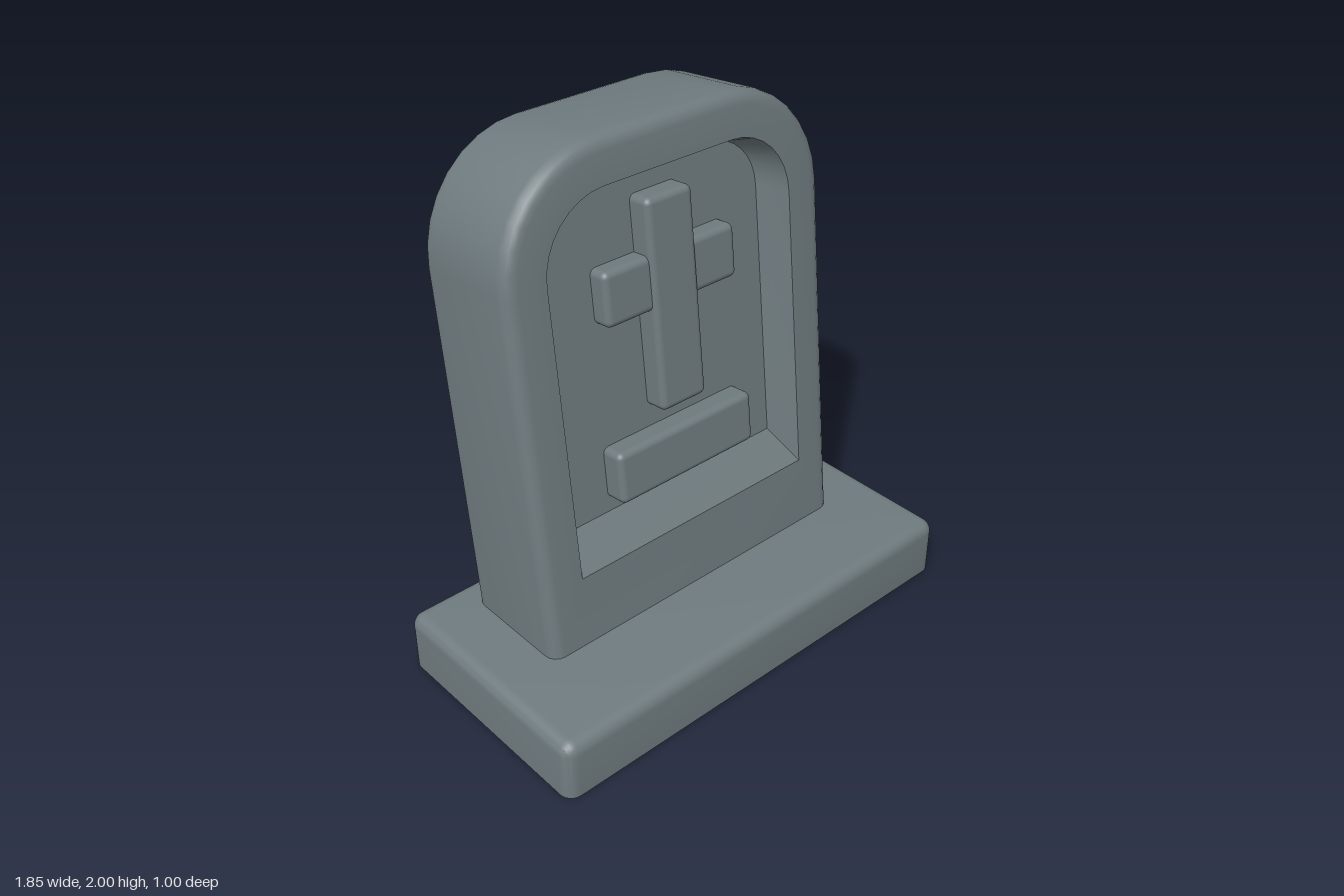
import * as THREE from 'three';
import { toCreasedNormals } from 'three/addons/utils/BufferGeometryUtils.js';
import { RoundedBoxGeometry } from 'three/addons/geometries/RoundedBoxGeometry.js';

const TILT = THREE.MathUtils.degToRad(6);
const HALF_DEPTH = 0.229;
const EDGE = 0.05;
const CREASE = 0.5;

// Arch outline, counter-clockwise: square bottom corners, rounded top corners
function archRing(halfWidth, bottom, top, radius, z) {
  const ring = [[-halfWidth, bottom, z], [halfWidth, bottom, z]];
  const steps = 8;
  for (const side of [1, -1]) {
    for (let k = 0; k <= steps; k++) {
      const a = (Math.PI / 2) * (k / steps) + (side < 0 ? Math.PI / 2 : 0);
      ring.push([
        side * (halfWidth - radius) + radius * Math.cos(a),
        top - radius + radius * Math.sin(a),
        z,
      ]);
    }
  }
  return ring;
}

// Skin a list of matching rings, front to back, and cap both ends
function skinRings(rings) {
  const n = rings[0].length;
  const points = rings.flat();
  const index = [];
  for (let i = 0; i < rings.length - 1; i++) {
    for (let j = 0; j < n; j++) {
      const k = (j + 1) % n;
      const a = i * n + j, b = i * n + k, c = a + n, d = b + n;
      index.push(a, c, b, b, c, d);
    }
  }
  const last = (rings.length - 1) * n;
  const front = points.length, back = front + 1;
  points.push([0, 1, rings[0][0][2]], [0, 1, rings[rings.length - 1][0][2]]);
  for (let j = 0; j < n; j++) {
    const k = (j + 1) % n;
    index.push(front, j, k, back, last + k, last + j);
  }
  const geometry = new THREE.BufferGeometry();
  geometry.setAttribute('position', new THREE.Float32BufferAttribute(points.flat(), 3));
  geometry.setIndex(index);
  return toCreasedNormals(geometry, CREASE);
}

// Slab with a bevelled recess in both faces and a rounded rim
function slabGeometry() {
  const half = [
    archRing(0.47, 0.378, 1.575, 0.21, HALF_DEPTH - 0.1),
    archRing(0.535, 0.247, 1.6, 0.26, HALF_DEPTH),
  ];
  for (let k = 0; k <= 4; k++) {
    const a = (Math.PI / 2) * (k / 4);
    const inset = EDGE * (1 - Math.sin(a));
    half.push(archRing(0.695 - inset, -0.1, 1.761 - inset, 0.415 - inset,
      HALF_DEPTH - EDGE + EDGE * Math.cos(a)));
  }
  const mirrored = half.map(ring => ring.map(([x, y, z]) => [x, y, -z])).reverse();
  return skinRings([...half, ...mirrored]);
}

// Plinth: rounded on top and at the corners, cut flat at the ground
function baseGeometry() {
  const geometry = new RoundedBoxGeometry(1.85, 0.33, 0.925, 4, 0.05);
  geometry.translate(0, 0.065, 0.0375);
  const position = geometry.attributes.position;
  for (let i = 0; i < position.count; i++) {
    position.setY(i, Math.max(0, position.getY(i)));
  }
  return toCreasedNormals(geometry, CREASE);
}

export function createModel() {
  const stone = new THREE.MeshStandardMaterial({ color: 0x6f7b7f });
  const model = new THREE.Group();
  model.name = 'gravestone';

  const add = (parent, name, geometry) => {
    const mesh = new THREE.Mesh(geometry, stone);
    mesh.name = name;
    parent.add(mesh);
    return mesh;
  };

  add(model, 'base', baseGeometry());

  // Everything above the base leans backwards
  const headstone = new THREE.Group();
  headstone.name = 'headstone';
  headstone.position.set(0, 0.23, -0.09);
  headstone.rotation.x = -TILT;
  model.add(headstone);
  add(headstone, 'slab', slabGeometry());

  // Raised blocks standing on the recessed front panel
  const addRelief = (name, x0, x1, y0, y1, front) => {
    const back = HALF_DEPTH - 0.14;
    const block = add(headstone, name,
      new RoundedBoxGeometry(x1 - x0, y1 - y0, front - back, 3, 0.025));
    block.position.set((x0 + x1) / 2, (y0 + y1) / 2, (front + back) / 2);
  };
  addRelief('crossPost', -0.102, 0.102, 0.713, 1.497, 0.217);
  addRelief('crossArmLeft', 0.08, 0.293, 1.095, 1.296, 0.202);
  addRelief('crossArmRight', -0.293, -0.08, 1.095, 1.296, 0.202);
  addRelief('plaque', -0.315, 0.315, 0.431, 0.632, 0.217);

  return model;
}
